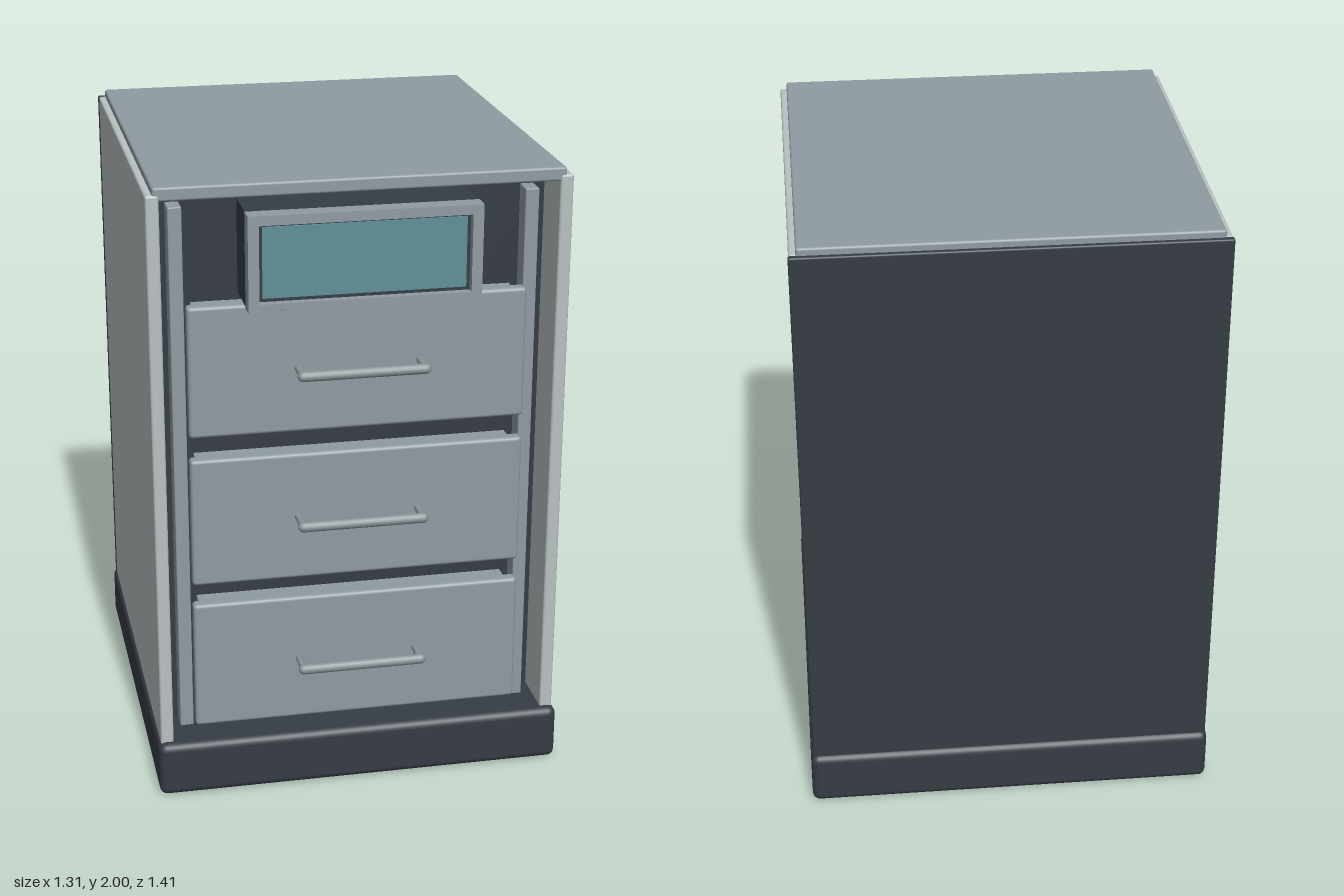
import * as THREE from 'three';
import { RoundedBoxGeometry } from 'three/addons/geometries/RoundedBoxGeometry.js';

const mat = (name, color) => {
  const m = new THREE.MeshStandardMaterial({ color });
  m.name = name;
  return m;
};

export function createModel() {
  const group = new THREE.Group();
  const panel = mat('pale panel', 0xb9c1c2);
  const grey = mat('blue grey', 0x909ba2);
  const dark = mat('charcoal', 0x363c45);
  const glass = mat('teal screen', 0x5f9198);
  const metal = mat('handle metal', 0x8a9698);

  const add = (name, geometry, material, parent = group) => {
    const mesh = new THREE.Mesh(geometry, material);
    mesh.name = name;
    parent.add(mesh);
    return mesh;
  };
  // Box given by its limits on each axis, with optional rounded edges
  const box = (name, material, [x0, x1], [y0, y1], [z0, z1], r = 0, parent = group) => {
    const size = [x1 - x0, y1 - y0, z1 - z0];
    const geometry = r ? new RoundedBoxGeometry(...size, 3, r) : new THREE.BoxGeometry(...size);
    const mesh = add(name, geometry, material, parent);
    mesh.position.set((x0 + x1) / 2, (y0 + y1) / 2, (z0 + z1) / 2);
    return mesh;
  };

  // Cabinet shell
  box('base', dark, [-0.655, 0.655], [0.003, 0.183], [-0.705, 0.675], 0.025);
  box('top', grey, [-0.625, 0.625], [1.957, 2], [-0.675, 0.642], 0.008);
  box('back', dark, [-0.648, 0.648], [0.1, 1.977], [-0.69, -0.668], 0.006);
  box('innerBody', dark, [-0.604, 0.604], [0.15, 1.96], [-0.668, 0.48]);
  for (const [side, s] of [['left', 1], ['right', -1]]) {
    const span = (a, b) => (s > 0 ? [a, b] : [-b, -a]);
    box(side + 'Side', panel, span(0.605, 0.646), [0, 1.977], [-0.67, 0.645], 0.008);
    box(side + 'Rail', grey, span(0.527, 0.57), [0.17, 1.912], [0.47, 0.545], 0.004);
  }

  // Drawers with bar handles
  [[0.205, 0.632], [0.7, 1.122], [1.195, 1.615]].forEach(([y0, y1], i) => {
    const drawer = new THREE.Group();
    drawer.name = 'drawer' + (i + 1);
    group.add(drawer);
    box('drawerFront', grey, [-0.526, 0.526], [y0, y1], [0.555, 0.6], 0.012, drawer);
    box('drawerBox', grey, [-0.5, 0.5], [y0 + 0.02, y1 - 0.02], [0.47, 0.56], 0, drawer);

    const y = (y0 + y1) / 2;
    const bar = add('handleBar', new THREE.CapsuleGeometry(0.016, 0.38, 6, 16), metal, drawer);
    bar.rotation.z = Math.PI / 2;
    bar.position.set(0, y, 0.683);
    for (const x of [-0.19, 0.19]) {
      const post = add('handlePost', new THREE.CylinderGeometry(0.011, 0.011, 0.09, 14), metal, drawer);
      post.rotation.x = Math.PI / 2;
      post.position.set(x, y, 0.638);
    }
  });

  // Display unit above the drawers
  const display = new THREE.Group();
  display.name = 'display';
  group.add(display);
  const rect = (path, x, y0, y1) => {
    path.moveTo(-x, y0);
    path.lineTo(x, y0);
    path.lineTo(x, y1);
    path.lineTo(-x, y1);
    path.closePath();
    return path;
  };
  const outline = rect(new THREE.Shape(), 0.355, 1.617, 1.915);
  outline.holes.push(rect(new THREE.Path(), 0.322, 1.645, 1.885));
  const frame = add('displayFrame', new THREE.ExtrudeGeometry(outline, { depth: 0.058, bevelEnabled: false }), grey, display);
  frame.position.z = 0.64;
  box('displayHousing', dark, [-0.353, 0.353], [1.619, 1.913], [0.47, 0.672], 0, display);
  box('screen', glass, [-0.31, 0.31], [1.657, 1.875], [0.67, 0.679], 0, display);
  box('displayButton', metal, [-0.257, -0.235], [1.624, 1.632], [0.69, 0.705], 0, display);

  return group;
}
